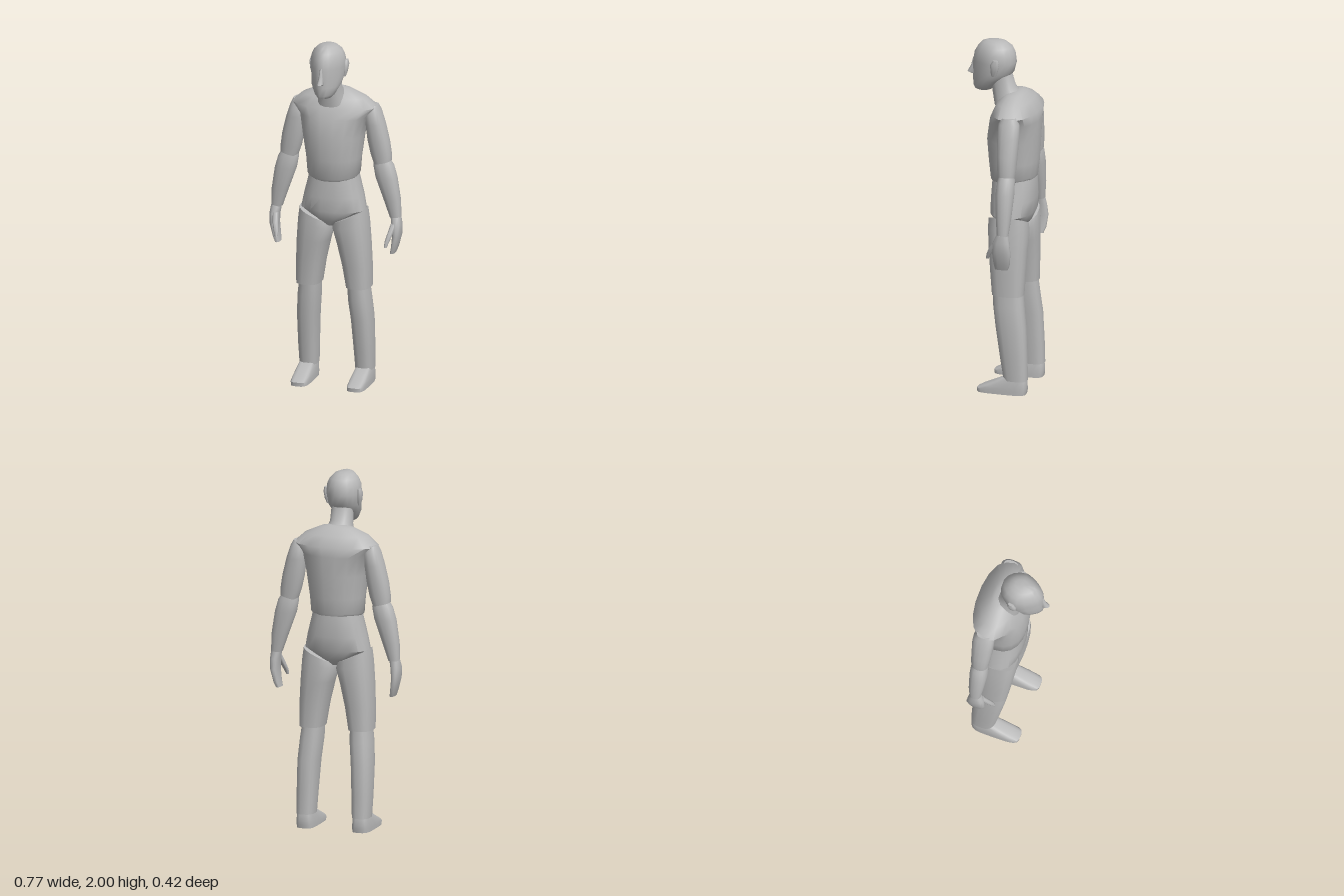
import * as THREE from 'three';
import { toCreasedNormals } from 'three/addons/utils/BufferGeometryUtils.js';

const SEGMENTS = 18;

// Closed body built from stacked cross-sections, bottom to top.
// Section: [y, xMin, xMax, zBack, zFront, tiltZ, tiltX]; tilts slope the section.
// power: 2 is an ellipse, higher is boxier. egg: narrows the front.
function loft(sections, { side = 1, power = 2.4, egg = 0, crease = 0.85 } = {}) {
  const pos = [], index = [];
  const round = (v) => Math.sign(v) * Math.abs(v) ** (2 / power);
  for (const [y, xMin, xMax, zBack, zFront, tiltZ = 0, tiltX = 0] of sections) {
    const cx = side * (xMin + xMax) / 2, cz = (zBack + zFront) / 2;
    const rx = (xMax - xMin) / 2, rz = (zFront - zBack) / 2;
    for (let j = 0; j < SEGMENTS; j++) {
      const a = (j / SEGMENTS) * Math.PI * 2;
      const u = round(Math.cos(a)), w = round(Math.sin(a));
      const dx = rx * u * (1 - egg * Math.max(0, w)), dz = rz * w;
      pos.push(cx + dx, y + tiltZ * dz + side * tiltX * dx, cz + dz);
    }
  }
  const rows = sections.length;
  for (const [y, xMin, xMax, zBack, zFront] of [sections[0], sections[rows - 1]]) {
    pos.push(side * (xMin + xMax) / 2, y, (zBack + zFront) / 2);
  }
  const bottom = rows * SEGMENTS, top = bottom + 1, last = (rows - 1) * SEGMENTS;
  for (let j = 0; j < SEGMENTS; j++) {
    const n = (j + 1) % SEGMENTS;
    for (let i = 0; i < rows - 1; i++) {
      const r = i * SEGMENTS, q = r + SEGMENTS;
      index.push(r + j, q + j, r + n, r + n, q + j, q + n);
    }
    index.push(bottom, j, n, top, last + n, last + j);
  }
  const geo = new THREE.BufferGeometry();
  geo.setAttribute('position', new THREE.Float32BufferAttribute(pos, 3));
  geo.setIndex(index);
  return toCreasedNormals(geo, crease);
}

// Section centred on x = 0
const mid = (y, rx, zBack, zFront, tiltZ) => [y, -rx, rx, zBack, zFront, tiltZ];

export function createModel() {
  const model = new THREE.Group();
  model.name = 'figure';
  const grey = new THREE.MeshStandardMaterial({ color: 0xb8b8b8 });
  grey.name = 'plain grey';

  const add = (name, geometry, parent = model) => {
    const mesh = new THREE.Mesh(geometry, grey);
    mesh.name = name;
    parent.add(mesh);
    return mesh;
  };

  // Chest with sloping shoulders
  add('chest', loft([
    mid(1.21, 0.135, -0.185, 0.06, -0.1),
    mid(1.225, 0.148, -0.19, 0.068, -0.1),
    mid(1.32, 0.155, -0.2, 0.08),
    mid(1.45, 0.175, -0.206, 0.088),
    mid(1.56, 0.195, -0.21, 0.07),
    mid(1.615, 0.246, -0.208, 0.045),
    mid(1.67, 0.185, -0.165, 0.02),
    mid(1.71, 0.095, -0.125, -0.02),
    mid(1.72, 0.05, -0.105, -0.05),
  ], { power: 2.2, crease: 1.1 }));

  // Waist and pelvis, closing in a V at the crotch
  add('pelvis', loft([
    mid(0.93, 0.025, -0.12, 0.02),
    mid(0.965, 0.09, -0.155, 0.05),
    mid(1.02, 0.185, -0.178, 0.062),
    mid(1.1, 0.168, -0.186, 0.062),
    mid(1.2, 0.142, -0.185, 0.058),
    mid(1.24, 0.135, -0.18, 0.055),
  ]));

  // Neck leaning forward
  add('neck', loft([
    mid(1.665, 0.082, -0.1, 0.048, -0.5),
    mid(1.72, 0.062, -0.065, 0.062, -0.3),
    mid(1.82, 0.06, -0.04, 0.08),
  ]));

  // Head
  const head = new THREE.Group();
  head.name = 'head';
  model.add(head);
  add('skull', loft([
    mid(1.712, 0.04, 0.075, 0.168),
    mid(1.73, 0.058, 0.045, 0.177),
    mid(1.775, 0.083, 0.0, 0.178),
    mid(1.82, 0.093, -0.055, 0.178),
    mid(1.88, 0.1, -0.07, 0.177),
    mid(1.93, 0.096, -0.064, 0.168),
    mid(1.965, 0.08, -0.047, 0.148),
    mid(1.99, 0.055, -0.015, 0.125),
    mid(2.0, 0.03, 0.01, 0.1),
  ], { power: 2.1, egg: 0.3, crease: 1.1 }), head);
  add('nose', loft([
    mid(1.795, 0.016, 0.15, 0.187),
    mid(1.803, 0.019, 0.15, 0.212),
    mid(1.84, 0.012, 0.15, 0.192),
    mid(1.89, 0.008, 0.15, 0.178),
  ], { power: 2 }), head);

  for (const side of [1, -1]) {
    const prefix = side > 0 ? 'left' : 'right';
    const limb = (name, sections, options = {}, parent = model) =>
      add(prefix + name, loft(sections, { side, ...options }), parent);

    limb('Ear', [
      [1.815, 0.085, 0.098, 0.02, 0.045],
      [1.845, 0.085, 0.108, 0.008, 0.05],
      [1.885, 0.085, 0.114, 0.0, 0.05],
      [1.91, 0.088, 0.108, 0.005, 0.035],
    ], {}, head);

    // Arm hanging outward
    limb('UpperArm', [
      [1.295, 0.225, 0.322, -0.143, -0.05, 0, 0.25],
      [1.34, 0.205, 0.322, -0.148, -0.045],
      [1.42, 0.188, 0.31, -0.152, -0.038],
      [1.52, 0.175, 0.285, -0.156, -0.034],
      [1.59, 0.175, 0.262, -0.153, -0.036],
      [1.625, 0.19, 0.245, -0.135, -0.055],
    ]);
    limb('Forearm', [
      [0.98, 0.315, 0.378, -0.13, -0.066],
      [1.08, 0.28, 0.375, -0.14, -0.055],
      [1.21, 0.233, 0.355, -0.146, -0.045],
      [1.28, 0.22, 0.335, -0.143, -0.05],
      [1.32, 0.225, 0.31, -0.13, -0.06],
    ]);
    limb('Hand', [
      [0.777, 0.322, 0.35, -0.125, -0.05],
      [0.81, 0.328, 0.362, -0.138, -0.045],
      [0.88, 0.335, 0.38, -0.146, -0.04],
      [0.94, 0.328, 0.384, -0.138, -0.045],
      [0.985, 0.32, 0.378, -0.128, -0.066],
    ]);
    limb('Thumb', [
      [0.828, 0.311, 0.326, -0.008, 0.008],
      [0.86, 0.311, 0.338, -0.026, 0.001],
      [0.9, 0.32, 0.35, -0.055, -0.016],
      [0.95, 0.33, 0.36, -0.09, -0.048],
    ]);

    // Leg
    limb('Thigh', [
      [0.57, 0.076, 0.214, -0.158, 0.022],
      [0.7, 0.055, 0.213, -0.163, 0.035],
      [0.83, 0.025, 0.207, -0.168, 0.048],
      [0.93, 0.002, 0.198, -0.172, 0.056, 0, 0.2],
      [0.985, 0.012, 0.188, -0.168, 0.054, 0, 0.45],
    ], { power: 2.7 });
    limb('Shin', [
      [0.08, 0.112, 0.214, -0.185, -0.05],
      [0.2, 0.107, 0.217, -0.182, -0.03],
      [0.38, 0.098, 0.217, -0.174, -0.003],
      [0.5, 0.086, 0.208, -0.16, 0.014],
      [0.6, 0.085, 0.195, -0.15, 0.02],
    ], { power: 2.7 });
    limb('Foot', [
      [0, 0.112, 0.216, -0.178, 0.1],
      [0.022, 0.112, 0.216, -0.182, 0.102],
      [0.042, 0.114, 0.215, -0.182, 0.065],
      [0.07, 0.118, 0.211, -0.18, 0.0],
      [0.1, 0.125, 0.205, -0.172, -0.06],
    ], { power: 4 });
  }
  return model;
}
